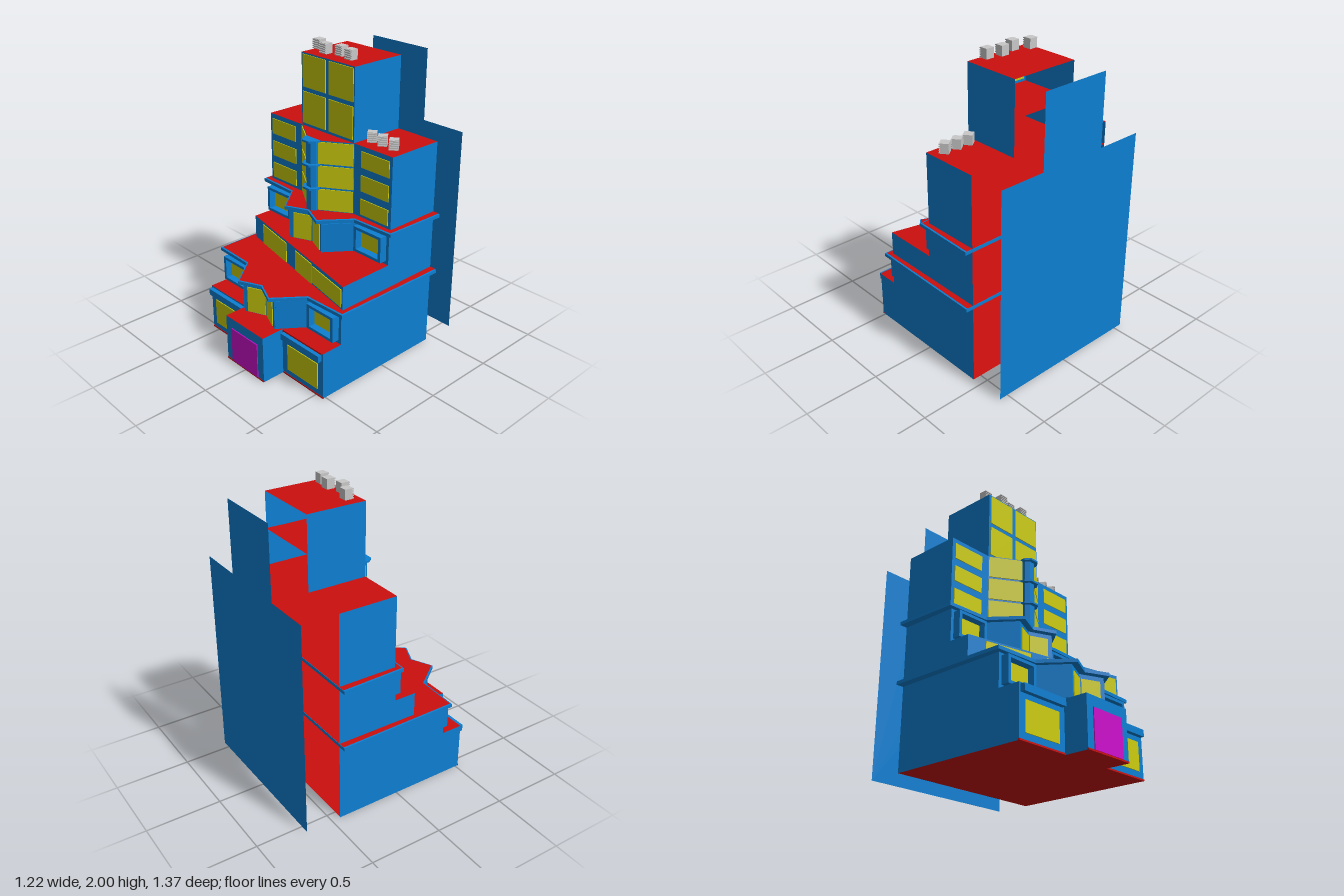
import * as THREE from 'three';

const mat = (name, color, side = THREE.FrontSide) => {
  const m = new THREE.MeshStandardMaterial({ color, side });
  m.name = name;
  return m;
};

export function createModel() {
  const blue = mat('wall blue', 0x0d7fd2, THREE.DoubleSide);
  const red = mat('floor red', 0xcc0f0f);
  const green = mat('ceiling green', 0x22cc0c);
  const yellow = mat('window yellow', 0xcccc0f);
  const magenta = mat('door magenta', 0xcc0fcc);
  const grey = mat('vent grey', 0xc8c8c8);

  const model = new THREE.Group();
  model.name = 'steppedBuilding';

  const add = (name, geometry, material, x = 0, y = 0, z = 0, parent = model) => {
    const mesh = new THREE.Mesh(geometry, material);
    mesh.name = name;
    mesh.position.set(x, y, z);
    parent.add(mesh);
    return mesh;
  };
  // box given by its limits
  const block = (name, m, x0, x1, y0, y1, z0, z1) =>
    add(name, new THREE.BoxGeometry(x1 - x0, y1 - y0, z1 - z0), m,
      (x0 + x1) / 2, (y0 + y1) / 2, (z0 + z1) / 2);

  // horizontal faces with an [x, z] outline
  const toShape = (pts, s) => new THREE.Shape(pts.map(([x, z]) => new THREE.Vector2(x, s * z)));
  const faceUp = (name, pts, y, m = red) =>
    add(name, new THREE.ShapeGeometry(toShape(pts, -1)).rotateX(-Math.PI / 2), m, 0, y);
  const faceDown = (name, pts, y, m = green) =>
    add(name, new THREE.ShapeGeometry(toShape(pts, 1)).rotateX(Math.PI / 2), m, 0, y);

  // upright walls along an outline, left open at the back
  const walls = (name, pts, y0, y1) => {
    const pos = [];
    for (let i = 0; i < pts.length - 1; i++) {
      const [ax, az] = pts[i], [bx, bz] = pts[i + 1];
      pos.push(ax, y0, az, bx, y0, bz, bx, y1, bz, ax, y0, az, bx, y1, bz, ax, y1, az);
    }
    const g = new THREE.BufferGeometry();
    g.setAttribute('position', new THREE.Float32BufferAttribute(pos, 3));
    g.computeVertexNormals();
    add(name, g, blue);
  };
  const storey = (name, pts, y0, y1) => {
    walls(name + 'Walls', pts, y0, y1);
    faceUp(name + 'Floor', pts, y0 + 0.003);
    faceDown(name + 'Ceiling', pts, y1 - 0.004);
    faceUp(name + 'Roof', pts, y1);
  };

  // thin plate on the wall from a to b, covering x0..x1
  const plate = (name, m, a, b, x0, x1, y0, y1, thick = 0.006) => {
    const dx = b[0] - a[0], dz = b[1] - a[1], len = Math.hypot(dx, dz);
    const xm = (x0 + x1) / 2, zm = a[1] + dz * (xm - a[0]) / dx;
    const p = add(name, new THREE.BoxGeometry((x1 - x0) * len / dx, y1 - y0, thick), m,
      xm - dz / len * thick / 2, (y0 + y1) / 2, zm + dx / len * thick / 2);
    p.rotation.y = -Math.atan2(dz, dx);
  };

  const W = 0.56, B = -0.44;

  // ground storey with projecting entrance
  const ground = [[-W, B], [-W, 0.52], [-0.185, 0.52], [-0.185, 0.68],
    [0.185, 0.68], [0.185, 0.52], [W, 0.52], [W, B]];
  storey('ground', ground, 0, 0.325);
  faceDown('base', ground, 0, red);
  block('baseEdge', red, -0.185, 0.185, 0, 0.01, 0.675, 0.683);
  for (const s of [-1, 1]) {
    const cx = s * 0.375;
    block('baseEdge', red, cx - 0.187, cx + 0.187, 0, 0.01, 0.515, 0.523);
    block('shopWindow', yellow, cx - 0.14, cx + 0.14, 0.05, 0.235, 0.52, 0.526);
    block('signBoard', blue, cx - 0.173, cx + 0.173, 0.27, 0.315, 0.52, 0.55);
  }
  block('signTrim', red, 0.19, 0.55, 0.316, 0.327, 0.515, 0.525);
  block('door', magenta, -0.13, 0.13, 0.01, 0.255, 0.68, 0.686);

  // two storeys with a folded bay, framed windows and a cornice
  const bayStorey = (name, y0, y1, dz) => {
    const at = (x, z) => [x, z + dz];
    const left = [at(-0.29, -0.03), at(-0.15, 0.155), at(0, 0.09)];
    const right = [at(0.15, 0.155), at(0.29, -0.03)];
    const [l0, l1, mid] = left, [r1, r0] = right;
    storey(name, [[-W, B], at(-W, -0.03), ...left, ...right, at(W, -0.03), [W, B]], y0, y1);
    plate('bayPanel', blue, l0, l1, -0.285, -0.155, y0 + 0.008, y1 - 0.015);
    plate('bayPanel', blue, r1, r0, 0.155, 0.285, y0 + 0.008, y1 - 0.015);
    plate('bayWindow', yellow, l1, mid, -0.125, -0.008, y0 + 0.005, y0 + 0.185);
    plate('bayWindow', yellow, mid, r1, 0.008, 0.125, y0 + 0.005, y0 + 0.185);

    // window frames on the wings
    const frame = new THREE.Shape();
    frame.moveTo(-0.117, -0.087).lineTo(0.117, -0.087).lineTo(0.117, 0.087).lineTo(-0.117, 0.087);
    const hole = new THREE.Path();
    hole.moveTo(-0.096, -0.068).lineTo(-0.096, 0.068).lineTo(0.096, 0.068).lineTo(0.096, -0.068);
    frame.holes.push(hole);
    const frameGeo = new THREE.ExtrudeGeometry(frame, { depth: 0.052, bevelEnabled: false });
    for (const s of [-1, 1]) {
      const yc = y0 + 0.112;
      add('windowFrame', frameGeo, blue, s * 0.422, yc, dz - 0.03);
      block('framedWindow', yellow, s * 0.422 - 0.093, s * 0.422 + 0.093,
        yc - 0.064, yc + 0.064, dz - 0.03, dz - 0.022);
    }

    // cornice slab with blue rim and red top
    const rim = [[-0.612, B], at(-0.597, 0), at(-0.3, 0.012), at(-0.15, 0.2), at(0, 0.132),
      at(0.15, 0.2), at(0.3, 0.012), at(0.597, 0), [0.612, B]];
    const slab = new THREE.ExtrudeGeometry(toShape(rim, -1), { depth: 0.022, bevelEnabled: false });
    add(name + 'Cornice', slab.rotateX(-Math.PI / 2), blue, 0, y1);
    const inset = rim.map(([x, z]) => [x * 0.985, z === B ? z : z - 0.01]);
    faceUp(name + 'CorniceTop', inset, y1 + 0.025);
  };
  bayStorey('lowerBay', 0.325, 0.54, 0.4);
  bayStorey('upperBay', 0.725, 0.94, 0);

  // storey with a slanted front
  const s0 = [-W, 0.12], s1 = [W, 0.36];
  storey('slanted', [[-W, B], s0, s1, [W, B]], 0.562, 0.725);
  for (const [x0, x1, y0, y1] of [[-0.44, -0.12, 0.568, 0.71], [0, 0.2, 0.568, 0.71],
    [0.215, 0.545, 0.58, 0.7]])
    plate('slantedWindow', yellow, s0, s1, x0, x1, y0, y1);

  // three upper levels with a pointed centre bay
  const F = -0.04;
  const b0 = [-0.24, F], b1 = [-0.06, 0.08], b2 = [0.06, 0.08], b3 = [0.24, F];
  const octagon = (r, z0, z1) => [[-r, z0], [-r, z1 - r * 0.6], [-r * 0.5, z1],
    [r * 0.5, z1], [r, z1 - r * 0.6], [r, z0]];
  const prism = (name, pts, y0, h) =>
    add(name, new THREE.ExtrudeGeometry(toShape(pts, -1), { depth: h, bevelEnabled: false })
      .rotateX(-Math.PI / 2), blue, 0, y0);
  for (let i = 0; i < 3; i++) {
    const y = 0.966 + i * 0.158;
    storey('level' + (i + 1), [[-W, B], [-W, F], b0, b1, b2, b3, [W, F], [W, B]], y, y + 0.158);
    plate('bayWindow', yellow, b0, b1, -0.237, -0.05, y + 0.006, y + 0.15);
    plate('bayWindow', yellow, b2, b3, 0.05, 0.237, y + 0.006, y + 0.15);
    for (const s of [-1, 1])
      block('wingWindow', yellow, s * 0.42 - 0.117, s * 0.42 + 0.117, y + 0.02, y + 0.126, F, F + 0.006);
    prism('centreColumn', octagon(0.042, 0.08, 0.125), y, 0.15);
    prism('columnLedge', octagon(0.06, 0.08, 0.15), y + 0.147, 0.013);
  }

  // tower
  for (let i = 0; i < 2; i++) {
    const y = 1.44 + i * 0.24;
    storey('tower' + (i + 1), [[-0.24, B], [-0.24, F], [0.235, F], [0.235, B]], y, y + 0.24);
    block('towerWindow', yellow, -0.225, -0.018, y + 0.02, y + 0.23, F, F + 0.006);
    block('towerWindow', yellow, 0.014, 0.225, y + 0.02, y + 0.23, F, F + 0.006);
  }

  // slatted roof vents
  const vent = (x, y, z, turn) => {
    const g = new THREE.Group();
    g.name = 'roofVent';
    g.position.set(x, y, z);
    g.rotation.y = turn;
    add('ventBody', new THREE.BoxGeometry(0.058, 0.065, 0.052), grey, 0, 0.0325, -0.003, g);
    for (let i = 0; i < 5; i++)
      add('ventSlat', new THREE.BoxGeometry(0.058, 0.007, 0.008), grey, 0, 0.006 + i * 0.0133, 0.027, g);
    model.add(g);
  };
  for (const [x, z] of [[-0.18, -0.135], [-0.073, -0.09], [0.035, -0.12], [0.137, -0.1]])
    vent(x, 1.935, z, 0);
  for (const x of [0.307, 0.395, 0.487]) vent(x, 1.45, -0.125, 0.65);

  // separate backdrop panel behind the building
  const back = new THREE.Shape([[-W, 0], [W, 0], [W, 1.44], [0.24, 1.44], [0.24, 1.92],
    [-0.24, 1.92], [-0.24, 1.44], [-W, 1.44]].map(([x, y]) => new THREE.Vector2(x, y)));
  add('backPanel', new THREE.ShapeGeometry(back), blue, 0, 0, -0.683);

  return model;
}
